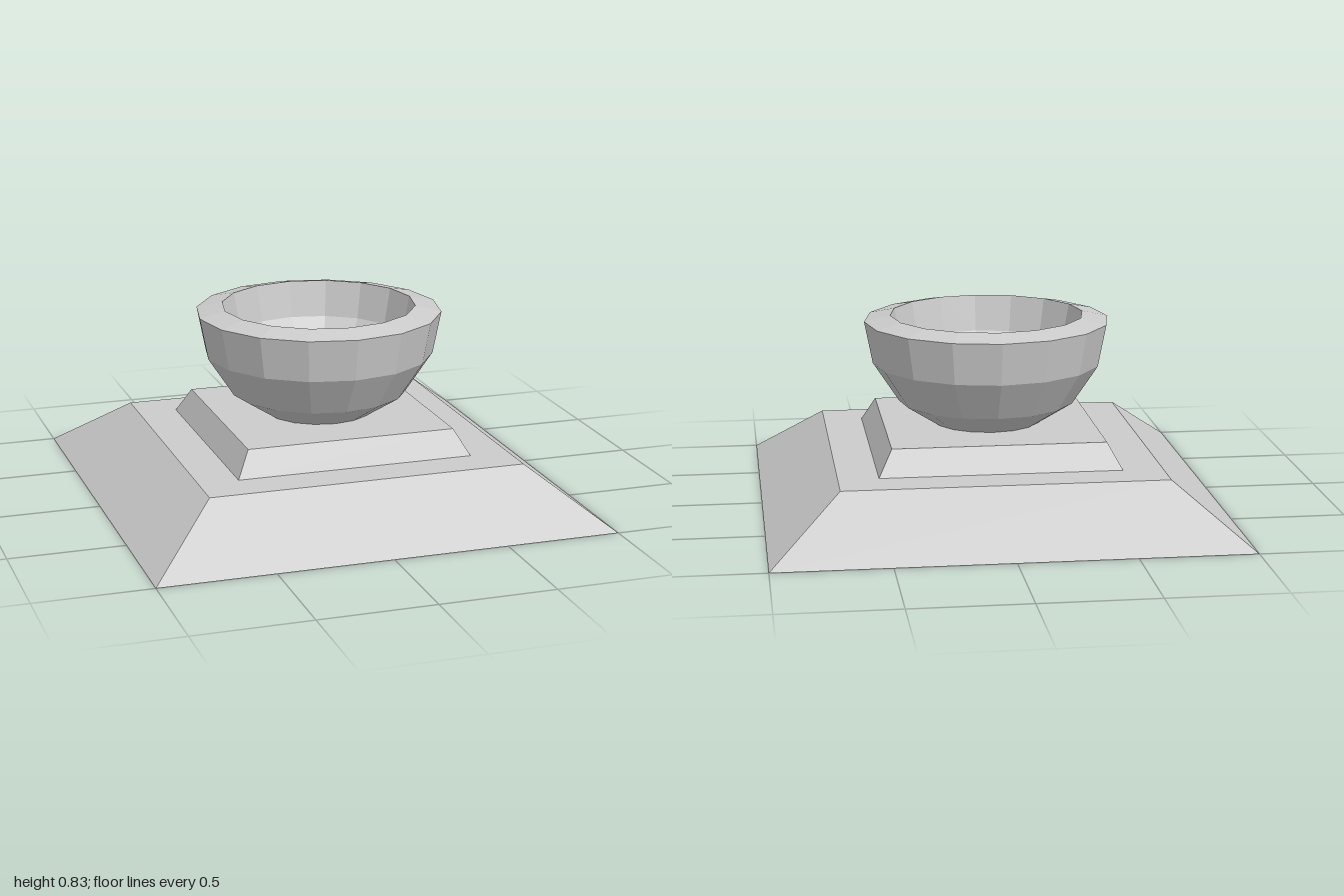
import * as THREE from 'three';

const material = new THREE.MeshStandardMaterial({ color: 0xcccccc, flatShading: true });

// Square block with sloping sides, given by half widths and heights
function taperedBlock(name, bottomHalf, topHalf, y0, y1) {
  const geometry = new THREE.CylinderGeometry(topHalf * Math.SQRT2, bottomHalf * Math.SQRT2, y1 - y0, 4);
  geometry.rotateY(Math.PI / 4);
  geometry.translate(0, (y0 + y1) / 2, 0);
  const mesh = new THREE.Mesh(geometry, material);
  mesh.name = name;
  return mesh;
}

export function createModel() {
  const model = new THREE.Group();
  model.name = 'pedestalBowl';

  // Stepped base
  model.add(taperedBlock('base', 1, 0.693, 0, 0.24));
  model.add(taperedBlock('plinth', 0.52, 0.46, 0.24, 0.35));

  // Faceted bowl: up the outside, over the sloping rim, down the inside
  const profile = [
    [0, 0.33], [0.205, 0.33], [0.388, 0.447], [0.502, 0.62], [0.538, 0.805],
    [0.424, 0.83], [0.392, 0.67], [0.302, 0.53], [0.16, 0.44], [0, 0.44],
  ].map(([r, y]) => new THREE.Vector2(r, y));
  const bowl = new THREE.Mesh(new THREE.LatheGeometry(profile, 16), material);
  bowl.name = 'bowl';
  model.add(bowl);

  return model;
}
